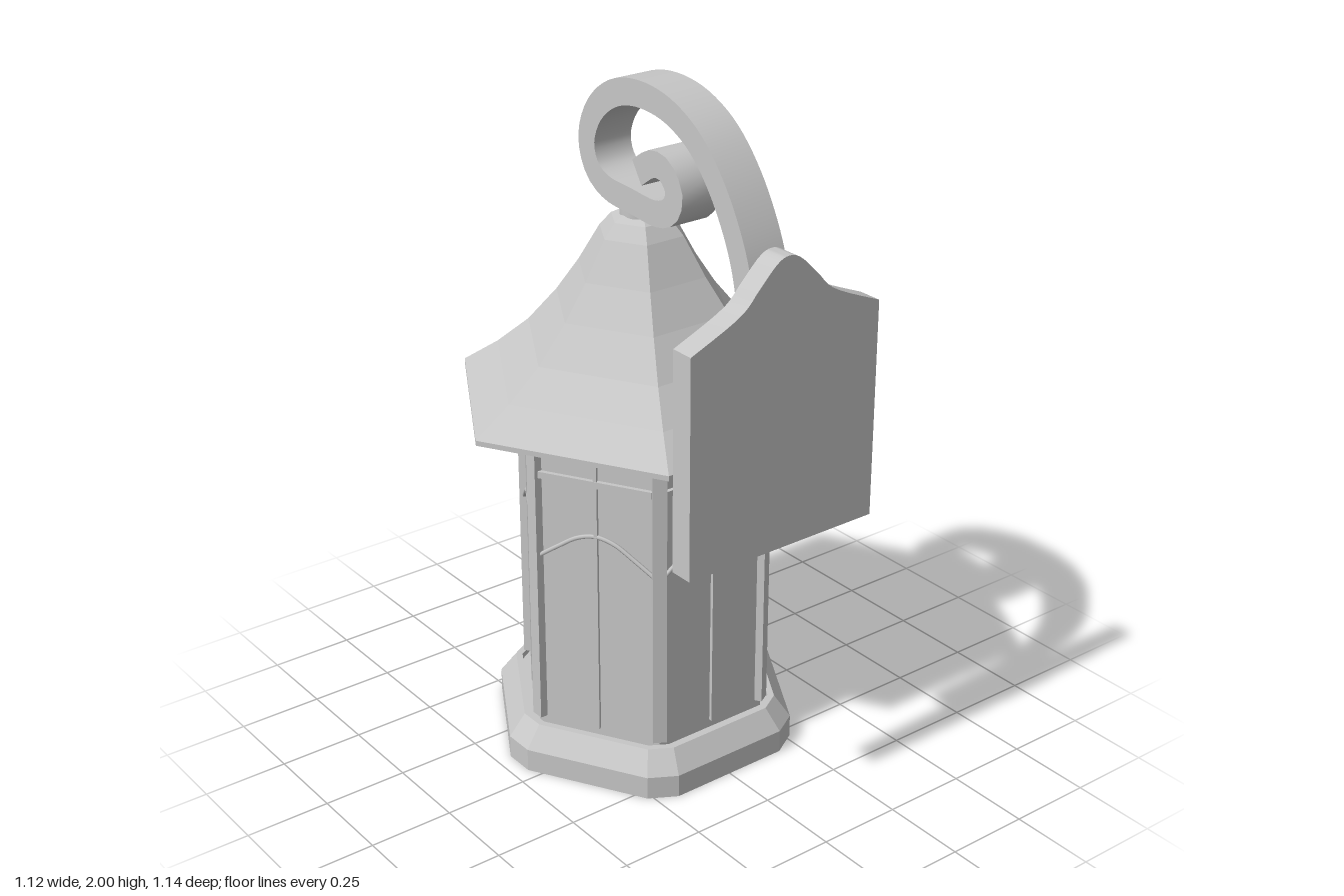
import * as THREE from 'three';
import { toCreasedNormals } from 'three/addons/utils/BufferGeometryUtils.js';

const metal = new THREE.MeshStandardMaterial({ color: 0xc6c6c6 });
metal.name = 'grey metal';

function add(parent, name, geometry, x = 0, y = 0, z = 0) {
  const mesh = new THREE.Mesh(geometry, metal);
  mesh.name = name;
  mesh.position.set(x, y, z);
  parent.add(mesh);
  return mesh;
}

function faceted(geometry) {
  const flat = geometry.index ? geometry.toNonIndexed() : geometry;
  flat.computeVertexNormals();
  return flat;
}

// Hexagon with clipped corners, lofted through rows of [corner distance, half clip, y]
function clippedHexLoft(rows) {
  const positions = [], index = [], n = 12;
  for (const [dist, clip, y] of rows) {
    for (let i = 0; i < n; i++) {
      const a = Math.floor(i / 2) * Math.PI / 3;
      const t = i % 2 ? clip : -clip;
      positions.push(dist * Math.cos(a) - t * Math.sin(a), y, dist * Math.sin(a) + t * Math.cos(a));
    }
  }
  for (let r = 0; r < rows.length - 1; r++) {
    for (let i = 0; i < n; i++) {
      const l = r * n + i, m = r * n + (i + 1) % n;
      index.push(l, l + n, m, m, l + n, m + n);
    }
  }
  const g = new THREE.BufferGeometry();
  g.setAttribute('position', new THREE.Float32BufferAttribute(positions, 3));
  g.setIndex(index);
  return faceted(g);
}

// Flat strap following a path of (z, y) points, extruded across x
function strap(points, thickness, width) {
  const curve = new THREE.SplineCurve(points.map(p => new THREE.Vector2(...p)));
  const left = [], right = [], n = 90;
  for (let i = 0; i <= n; i++) {
    const p = curve.getPointAt(i / n), t = curve.getTangentAt(i / n);
    const side = new THREE.Vector2(-t.y, t.x).multiplyScalar(thickness / 2);
    left.push(p.clone().add(side));
    right.unshift(p.clone().sub(side));
  }
  const g = new THREE.ExtrudeGeometry(new THREE.Shape([...left, ...right]), { depth: width, bevelEnabled: false });
  g.rotateY(-Math.PI / 2);
  g.translate(width / 2, 0, 0);
  return toCreasedNormals(g, 0.6);
}

export function createModel() {
  const model = new THREE.Group();
  model.name = 'wallLantern';
  const lantern = new THREE.Group();
  lantern.name = 'lantern';
  lantern.position.z = -0.085;
  model.add(lantern);

  // Base tray with a shallow recess
  add(lantern, 'base', clippedHexLoft([
    [0, 0, 0], [0.4535, 0.045, 0], [0.4535, 0.045, 0.069], [0.405, 0.037, 0.133],
    [0.385, 0.034, 0.133], [0.385, 0.034, 0.115], [0, 0, 0.115],
  ]));

  // Hexagonal panes
  const panes = new THREE.CylinderGeometry(0.375, 0.375, 0.98, 6);
  panes.rotateY(Math.PI / 6);
  add(lantern, 'panes', faceted(panes), 0, 0.605, 0);

  // Curve of the arched glazing bar
  const arch = new THREE.CatmullRomCurve3(
    [[-0.17, 0.674], [-0.115, 0.712], [-0.055, 0.75], [0, 0.763], [0.055, 0.75], [0.115, 0.712], [0.17, 0.674]]
      .map(([x, y]) => new THREE.Vector3(x, y, 0)));
  const archBar = new THREE.TubeGeometry(arch, 24, 0.0065, 6);
  const upright = new THREE.BoxGeometry(0.011, 0.95, 0.02);
  const rail = new THREE.BoxGeometry(0.34, 0.02, 0.02);
  const post = new THREE.BoxGeometry(0.035, 0.95, 0.04);

  for (let i = 0; i < 6; i++) {
    // Glazing bars on each side
    const side = new THREE.Group();
    side.name = 'glazingBars';
    side.rotation.y = i * Math.PI / 3;
    lantern.add(side);
    add(side, 'upright', upright, 0, 0.615, 0.325);
    add(side, 'rail', rail, 0, 0.925, 0.327);
    add(side, 'arch', archBar, 0, 0, 0.33);

    // Corner posts
    const a = i * Math.PI / 3;
    add(lantern, 'cornerPost', post, 0.3685 * Math.cos(a), 0.615, -0.3685 * Math.sin(a)).rotation.y = a;
  }

  // Hollow flared roof, underside first and then the outer skin
  const outer = [[0.56, 1.075], [0.45, 1.15], [0.35, 1.235], [0.26, 1.34], [0.19, 1.44], [0.125, 1.55], [0.09, 1.59], [0.06, 1.605]];
  const profile = [
    [0, 1.53], [0.17, 1.43], [0.24, 1.33], [0.33, 1.225], [0.43, 1.14], [0.545, 1.06],
    [0.56, 1.06], ...outer, [0, 1.605],
  ].map(p => new THREE.Vector2(...p));
  const roof = new THREE.LatheGeometry(profile, 6);
  roof.rotateY(Math.PI / 6);
  add(lantern, 'roof', faceted(roof));
  add(lantern, 'neck', new THREE.CylinderGeometry(0.06, 0.06, 0.05, 24), 0, 1.61, 0);

  // Scrolled hanging arm
  add(model, 'scrollArm', strap([
    [0.459, 0.97], [0.459, 1.15], [0.459, 1.316], [0.427, 1.565], [0.353, 1.74], [0.247, 1.873],
    [0.13, 1.942], [0.003, 1.963], [-0.114, 1.942], [-0.204, 1.878], [-0.247, 1.788],
    [-0.225, 1.708], [-0.156, 1.666], [-0.045, 1.657], [0.061, 1.652], [0.122, 1.676],
    [0.141, 1.729], [0.103, 1.78], [0.045, 1.786], [-0.019, 1.745],
  ], 0.074, 0.124), -0.002);

  // Wall plate with an ogee top
  const half = [[0.3125, 1.485], [0.158, 1.553], [0.097, 1.61], [0.04, 1.665]];
  const plate = new THREE.Shape();
  plate.moveTo(-0.3125, 0.857);
  plate.lineTo(0.3125, 0.857);
  plate.lineTo(...half[0]);
  plate.splineThru([...half.slice(1), [0, 1.68], ...half.slice(1).reverse().map(([x, y]) => [-x, y]), [-0.3125, 1.485]]
    .map(p => new THREE.Vector2(...p)));
  const plateGeometry = new THREE.ExtrudeGeometry(plate, { depth: 0.07, bevelEnabled: false, curveSegments: 4 });
  add(model, 'wallPlate', toCreasedNormals(plateGeometry, 0.5), -0.0325, 0, 0.5);

  return model;
}
